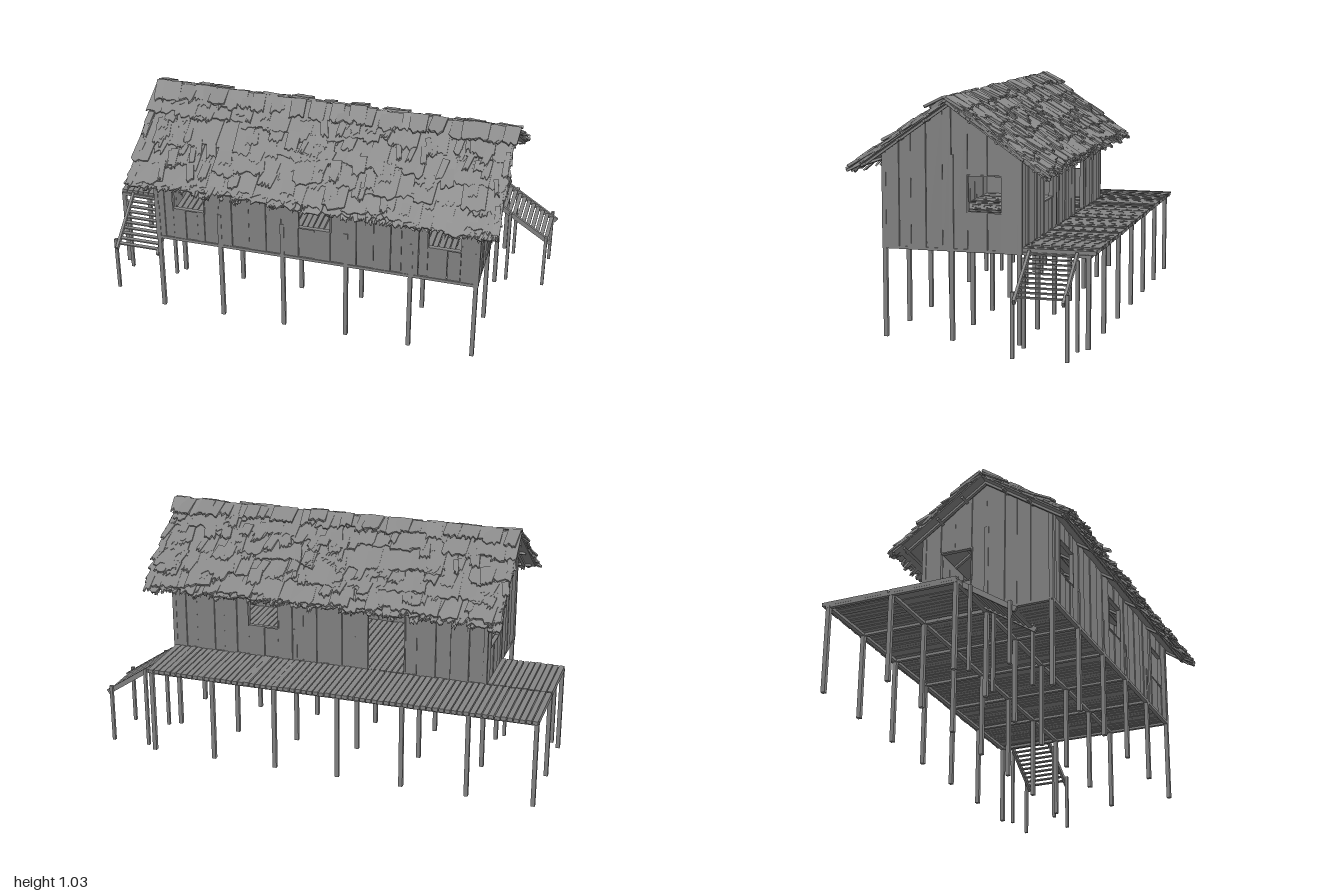
import * as THREE from 'three';
import { mergeGeometries } from 'three/addons/utils/BufferGeometryUtils.js';

let seed = 7;
const rnd = (a = 0, b = 1) => {
  seed = (seed * 16807) % 2147483647;
  return a + (b - a) * (seed / 2147483647);
};
const grey = color => new THREE.MeshStandardMaterial({ color, flatShading: true, side: THREE.DoubleSide });
const wood = grey(0x868686), straw = grey(0x8a8a8a);

function part(name, geometries, material = wood) {
  const mesh = new THREE.Mesh(mergeGeometries(geometries), material);
  mesh.name = name;
  return mesh;
}
// Box from its minimum and maximum corners
function box(x0, x1, y0, y1, z0, z1) {
  return new THREE.BoxGeometry(x1 - x0, y1 - y0, z1 - z0).translate((x0 + x1) / 2, (y0 + y1) / 2, (z0 + z1) / 2);
}
function post(x, z, top, w = 0.018) {
  return box(x - w / 2, x + w / 2, 0, top, z - w / 2, z + w / 2);
}
function plate(points, depth) {
  const shape = new THREE.Shape(points.map(([x, y]) => new THREE.Vector2(x, y)));
  return new THREE.ExtrudeGeometry(shape, { depth, bevelEnabled: false });
}

const X0 = -0.71, X1 = 0.76, Z0 = -0.22, Z1 = 0.38, RIDGE_Z = 0.08, FLOOR = 0.405;
const COLUMNS = [-0.99, -0.7, -0.41, -0.12, 0.17, 0.46, 0.75];
const ROWS = [-0.498, -0.208, 0.081, 0.373];

// Stilts on a regular grid, with a beam grid on top
function buildFrame() {
  const posts = [], beams = [];
  for (const x of COLUMNS) for (const z of ROWS) {
    if (x < -0.9 && z > 0.2) continue;
    const inWall = x > -0.9 && (z > 0.2 || z === ROWS[1]);
    posts.push(post(x, z, inWall ? 0.55 : 0.385));
  }
  for (const z of ROWS) beams.push(box(z > 0.2 ? X0 : -1, X1, 0.376, 0.39, z - 0.009, z + 0.009));
  for (const x of COLUMNS) beams.push(box(x - 0.008, x + 0.008, 0.377, 0.389, -0.51, x < -0.9 ? 0.085 : Z1));
  return [part('stilts', posts), part('floorBeams', beams)];
}

// Floor boards running front to back, laid along x
function boards(name, x0, x1, z0, z1) {
  const list = [], n = Math.round((x1 - x0) / 0.0265), step = (x1 - x0) / n;
  for (let i = 0; i < n; i++) {
    const y = rnd(-0.002, 0.001);
    list.push(box(x0 + i * step + 0.0015, x0 + (i + 1) * step - rnd(0.001, 0.004),
      0.389 + y, FLOOR + y, z0 + rnd(0, 0.004), z1 - rnd(0, 0.003)));
  }
  return part(name, list);
}

// Wall of uneven vertical planks; openings are [u0, u1, v0, v1]
function buildWall(name, u0, u1, topAt, openings, extraEdges = []) {
  const planks = [], frames = [], fixed = [u0, u1, ...extraEdges];
  openings.forEach(o => fixed.push(o[0], o[1]));
  fixed.sort((a, b) => a - b);
  const edges = [];
  for (let i = 0; i < fixed.length - 1; i++) {
    let u = fixed[i];
    while (u < fixed[i + 1] - 0.03) {
      edges.push(u);
      u += rnd(0.045, 0.09);
    }
  }
  edges.push(u1);
  for (let i = 0; i < edges.length - 1; i++) {
    const a = edges[i], b = edges[i + 1] - 0.002, mid = (a + b) / 2;
    const hole = openings.find(o => mid > o[0] && mid < o[1]);
    const depth = (i % 2 ? 0.008 : 0.012) + rnd(0, 0.002);
    if (hole) {
      planks.push(plate([[a, hole[3]], [b, hole[3]], [b, topAt(b)], [a, topAt(a)]], depth));
      if (hole[2] > FLOOR) planks.push(plate([[a, 0.38], [b, 0.38], [b, hole[2]], [a, hole[2]]], depth));
    } else planks.push(plate([[a, 0.38], [b, 0.38], [b, topAt(b)], [a, topAt(a)]], depth));
  }
  for (const [a, b, c, d] of openings) {
    const t = 0.004;
    frames.push(box(a - t, a + t / 2, c, d, -0.004, 0.015), box(b - t / 2, b + t, c, d, -0.004, 0.015),
      box(a - t, b + t, d - t / 2, d + t, -0.004, 0.015));
    if (c > FLOOR) frames.push(box(a - t, b + t, c - t, c + t / 2, -0.004, 0.015));
  }
  const group = new THREE.Group();
  group.name = name;
  group.add(part(name + 'Planks', planks), part(name + 'Frames', frames));
  return group;
}

function buildWalls() {
  const flat = () => 0.785;
  const gable = center => u => 0.99 - 0.7 * Math.abs(u - center);
  const front = buildWall('frontWall', X0, X1, flat,
    [[-0.625, -0.48, 0.545, 0.7], [-0.045, 0.1, 0.545, 0.7], [0.535, 0.68, 0.545, 0.7]]);
  front.position.z = Z1 - 0.014;
  const back = buildWall('backWall', -X1, -X0, flat, [[-0.39, -0.25, 0.545, 0.7], [0.17, 0.34, FLOOR, 0.7]]);
  back.rotation.y = Math.PI;
  back.position.z = Z0 + 0.014;
  const left = buildWall('leftGable', -Z1, -Z0, gable(-RIDGE_Z), [[-0.01, 0.135, 0.545, 0.695]], [-RIDGE_Z]);
  left.rotation.y = Math.PI / 2;
  left.position.x = X1 - 0.014;
  const right = buildWall('rightGable', Z0, Z1, gable(RIDGE_Z), [[-0.135, 0.01, 0.545, 0.695]], [RIDGE_Z]);
  right.rotation.y = -Math.PI / 2;
  right.position.x = X0 + 0.014;
  // Corner posts and the middle battens of the gables
  const trims = [];
  for (const x of [X0 + 0.007, X1 - 0.007]) {
    for (const z of [Z0 + 0.007, Z1 - 0.007]) trims.push(box(x - 0.009, x + 0.009, 0.38, 0.78, z - 0.009, z + 0.009));
    trims.push(box(x - 0.009, x + 0.009, 0.38, 0.78, RIDGE_Z - 0.009, RIDGE_Z + 0.009));
  }
  return [front, back, left, right, part('wallPosts', trims)];
}

// One bundle of thatch: a sheet with a ragged lower edge, hanging from y = 0
function bundle(w, len) {
  const pts = [[w / 2, 0], [-w / 2, 0]], n = 7;
  for (let i = 0; i <= n; i++) pts.push([-w / 2 + w * i / n + rnd(-0.003, 0.003), -len + rnd(-0.013, 0.013)]);
  return plate(pts, rnd(0.006, 0.012));
}

// One slope, in its own plane: y up the slope, z outward
function buildSlope(name) {
  const half = 0.805, thatch = [], rafters = [];
  const rows = [[-0.38, 0.12], [-0.345, 0.135], [-0.235, 0.15], [-0.125, 0.15], [0, 0.15]];
  rows.forEach(([top, len], r) => {
    for (let x = -half; x < half - 0.02;) {
      const w = Math.min(rnd(0.05, 0.1), half - x);
      const g = bundle(w + 0.015, len + rnd(-0.012, 0.012));
      g.rotateX(-rnd(0.02, 0.1)).rotateZ(rnd(-0.07, 0.07));
      thatch.push(g.translate(x + w / 2, top, rnd(0.006, 0.012) + (r === 0 ? -0.006 : 0)));
      x += w;
    }
  });
  // Loose tufts over the slope, along the eave and along the gable edges
  for (let i = 0; i < 130; i++) {
    const g = bundle(rnd(0.02, 0.06), rnd(0.05, 0.09)).rotateX(-rnd(0, 0.12)).rotateZ(rnd(-0.3, 0.3));
    thatch.push(g.translate(rnd(-half + 0.04, half - 0.04), -rnd(0.03, 0.4), rnd(0.013, 0.019)));
  }
  for (let i = 0; i < 90; i++) {
    const g = bundle(rnd(0.015, 0.03), rnd(0.04, 0.065)).rotateX(rnd(-0.25, 0.35)).rotateZ(rnd(-0.35, 0.35));
    thatch.push(g.translate(rnd(-half, half), -0.45, rnd(-0.004, 0.012)));
  }
  for (const s of [-1, 1]) for (let i = 0; i < 22; i++) {
    const g = bundle(rnd(0.015, 0.03), rnd(0.05, 0.08)).rotateZ(s * rnd(0, 0.35));
    thatch.push(g.translate(s * (half - 0.012), -0.44 * i / 21, rnd(0.002, 0.02)));
  }
  rafters.push(box(-half, half, -0.48, 0, 0, 0.006));
  for (const x of [-0.755, -0.45, -0.15, 0.15, 0.45, 0.755]) rafters.push(box(x - 0.007, x + 0.007, -0.46, 0, -0.01, 0));
  for (const y of [-0.12, -0.26, -0.45]) rafters.push(box(-0.79, 0.79, y - 0.006, y + 0.006, -0.01, 0));
  const plane = new THREE.Group();
  plane.rotation.x = -(Math.PI / 2 - Math.atan(0.7));
  plane.add(part('thatch', thatch, straw), part('rafters', rafters));
  const slope = new THREE.Group();
  slope.name = name;
  slope.position.set(0.03, 0.993, RIDGE_Z);
  slope.add(plane);
  return slope;
}

// Short bundles bent over the ridge
function buildRidge() {
  const list = [];
  for (const s of [0, Math.PI]) for (let x = -0.8; x < 0.78; x += 0.045) {
    const g = bundle(rnd(0.055, 0.08), rnd(0.07, 0.1)).rotateX(-rnd(0.98, 1.2));
    list.push(g.rotateY(s + rnd(-0.15, 0.15)).translate(x + 0.05, rnd(1.006, 1.018), RIDGE_Z));
  }
  return part('ridgeThatch', list, straw);
}

// Stairs descending along local +x from the deck edge, centred on z = 0
function buildStairs(name) {
  const group = new THREE.Group(), run = 0.225, drop = 0.15, treads = [], rails = [], posts = [];
  group.name = name;
  for (let i = 0; i < 10; i++) {
    const x = run * (i + 0.5) / 10, y = 0.392 - drop * (i + 0.3) / 10;
    treads.push(box(x - 0.009, x + 0.009, y - 0.006, y, -0.1, 0.1));
  }
  for (const s of [-1, 1]) {
    rails.push(new THREE.BoxGeometry(0.285, 0.022, 0.012).rotateZ(-Math.atan(drop / run)).translate(0.118, 0.312, s * 0.1));
    posts.push(post(0.042, s * 0.112, 0.375, 0.014), post(0.215, s * 0.112, 0.27, 0.014));
  }
  group.add(part('treads', treads), part('stringers', rails), part('stairPosts', posts));
  return group;
}

export function createModel() {
  seed = 7;
  const model = new THREE.Group();
  model.name = 'stiltHouse';
  model.add(...buildFrame(), ...buildWalls(), buildRidge());
  model.add(boards('backDeck', -1, 0.755, -0.53, Z0), boards('sideDeck', -1, X0, -0.217, 0.085),
    boards('houseFloor', X0 + 0.01, X1 - 0.01, Z0, Z1 - 0.012));

  const frontSlope = buildSlope('frontRoof'), backSlope = buildSlope('backRoof');
  backSlope.rotation.y = Math.PI;
  model.add(frontSlope, backSlope);

  const backStairs = buildStairs('backStairs'), sideStairs = buildStairs('sideStairs');
  backStairs.position.set(0.757, 0, -0.352);
  sideStairs.position.set(-0.842, 0, 0.085);
  sideStairs.rotation.y = -Math.PI / 2;
  model.add(backStairs, sideStairs);
  return model;
}
